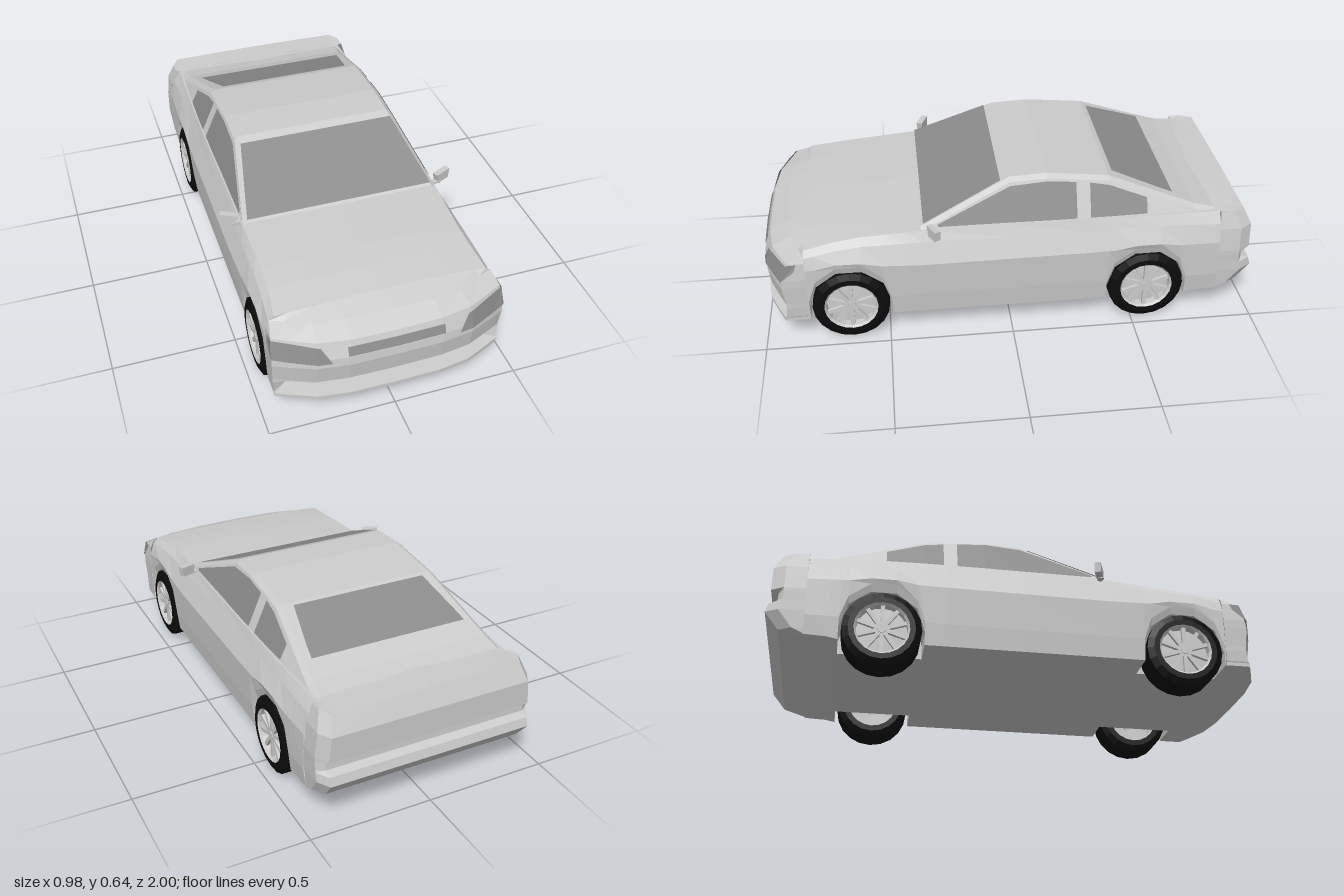
import * as THREE from 'three';

const mat = (color) => new THREE.MeshStandardMaterial({ color, flatShading: true, side: THREE.DoubleSide });
const paint = mat(0xcccccc), glass = mat(0x8c8c8c), rubber = mat(0x0c0c0c);

// Skin a grid of points: rows of equal length, each point [x, y, z]
function grid(rows) {
  const n = rows[0].length, index = [];
  for (let i = 0; i < rows.length - 1; i++)
    for (let j = 0; j < n - 1; j++) {
      const a = i * n + j, d = a + n;
      index.push(a, a + 1, d + 1, a, d + 1, d);
    }
  const g = new THREE.BufferGeometry();
  g.setAttribute('position', new THREE.Float32BufferAttribute(rows.flat(2), 3));
  g.setIndex(index);
  g.computeVertexNormals();
  return g;
}

function part(name, geometry, material = paint) {
  const m = new THREE.Mesh(geometry, material);
  m.name = name;
  return m;
}

// Interpolate a table whose first column ascends
function look(table, t) {
  let i = 0;
  while (i < table.length - 2 && t > table[i + 1][0]) i++;
  const a = table[i], b = table[i + 1];
  const k = THREE.MathUtils.clamp((t - a[0]) / (b[0] - a[0]), 0, 1);
  return a.slice(1).map((v, j) => v + (b[j + 1] - v) * k);
}

// Close a half section [x, y] (starting at +x) over to -x
const ring = (half, z) => [
  ...half.map(([x, y]) => [x, y, z]),
  ...half.slice(0, -1).reverse().map(([x, y]) => [-x, y, z]),
];

// Body sections: z, top y, deck edge x y, shoulder x y, waist x y
const BODY = [
  [-0.85, 0.475, 0.40, 0.465, 0.43, 0.42, 0.453, 0.345],
  [-0.60, 0.475, 0.41, 0.470, 0.43, 0.43, 0.462, 0.350],
  [-0.30, 0.475, 0.415, 0.472, 0.432, 0.425, 0.465, 0.345],
  [0.355, 0.475, 0.41, 0.466, 0.43, 0.425, 0.465, 0.340],
  [0.65, 0.455, 0.40, 0.445, 0.43, 0.42, 0.460, 0.350],
  [0.82, 0.430, 0.42, 0.415, 0.44, 0.39, 0.456, 0.340],
];
const AXLES = [-0.555, 0.65], ARCH = 0.165, HUB = 0.155;

// Stations [z, sill height] that trace a wheel arch
function arch(zc) {
  const s = [[zc - ARCH, 0.1]];
  for (let i = 5; i >= 0; i--) {
    const t = (i / 5) * Math.PI;
    s.push([zc + ARCH * Math.cos(t), HUB + ARCH * Math.sin(t)]);
  }
  return [...s, [zc + ARCH, 0.1]];
}

function bodyShell() {
  const stations = [[-0.85, 0.112], [-0.76, 0.108], ...arch(AXLES[0]), [-0.3, 0.1], [0, 0.1],
    [0.355, 0.1], [0.42, 0.1], ...arch(AXLES[1]), [0.82, 0.1]];
  return grid(stations.map(([z, a]) => {
    const [yt, xd, yd, xs, ys, xm, ym] = look(BODY, z);
    const f = Math.min(a, z < -0.75 ? 0.112 : 0.1);
    return ring([[0, f], [0.31, f], [0.31, a], [0.445, a], [0.455, Math.max(0.19, a + 0.03)],
      [xm, Math.max(ym, a + 0.05)], [xs, ys], [xd, yd], [xd * 0.65, yt - 0.005], [0, yt]], z);
  }));
}

// Nose and tail. rows: y, z, half width, recess, crown; cols: width fraction, sweep back
const NOSE_COLS = [[0, 0], [0.4, 0.003], [0.67, 0.02], [0.88, 0.06], [1, 0.085]];
const NOSE = [
  [0.1, 0.82, 0.445, 0, 0], [0.1, 1.0, 0.45, 0, 0], [0.115, 1.0, 0.45, 0, 0],
  [0.12, 0.995, 0.452, 0.06, 0], [0.165, 0.99, 0.455, 0.06, 0], [0.185, 0.99, 0.455, 0, 0],
  [0.265, 1.0, 0.459, 0, 0], [0.30, 0.995, 0.459, 0, 0], [0.36, 0.97, 0.452, 0, -0.015],
  [0.40, 0.90, 0.44, 0, 0], [0.43, 0.82, 0.42, 0, 0.015],
];
const TAIL_COLS = [[0, 0], [0.5, 0], [0.93, 0], [1, 0.05]];
const TAIL = [
  [0.112, 0.85, 0.445, 0, 0], [0.115, 0.87, 0.445, 0, 0], [0.135, 0.945, 0.447, 0, 0],
  [0.205, 1.0, 0.452, 0, 0], [0.24, 0.99, 0.452, 0, 0], [0.25, 0.987, 0.452, 0.03, 0],
  [0.285, 0.985, 0.453, 0.03, 0], [0.30, 0.985, 0.453, 0, 0], [0.40, 0.985, 0.442, 0, 0],
  [0.475, 0.95, 0.42, 0, 0.005], [0.475, 0.85, 0.40, 0, 0.01],
];
function endCap(rows, cols, zBase, dir) {
  const all = [...cols.slice(1).reverse().map(([u, d]) => [-u, d]), ...cols];
  all.unshift([-1, 9]);
  all.push([1, 9]);
  return grid(rows.map(([y, z, w, recess, crown]) => all.map(([u, d]) => [
    dir * u * w, y - crown * u * u,
    dir * Math.max(zBase, z - d - (Math.abs(u) < 1 ? recess : 0)),
  ])));
}
const noseZ = (x, y) =>
  look(NOSE.slice(5, 10), y)[0] - look(NOSE_COLS, Math.abs(x) / 0.455)[0];

// Cabin: z, roof y, roof half width, belt half width
const CABIN = [
  [-0.83, 0.472, 0.395, 0.398], [-0.75, 0.49, 0.39, 0.40], [-0.6, 0.545, 0.372, 0.41],
  [-0.4, 0.62, 0.347, 0.415], [-0.15, 0.645, 0.342, 0.415], [0, 0.637, 0.342, 0.413],
  [0.357, 0.476, 0.41, 0.411],
];
function cabinShell() {
  return grid(CABIN.map(([z, y, x, b]) =>
    ring([[b, 0.455], [x, y - 0.015], [x - 0.02, y], [0, y]], z)));
}
// Side pane from columns [z, bottom y, top y]
function sidePane(cols) {
  const at = (z, y) => {
    const [top, x, b] = look(CABIN, z);
    return [b + (x - b) * (y - 0.455) / (top - 0.47) + 0.004, y, z];
  };
  return grid([1, 2].map((k) => cols.map((c) => at(c[0], c[k]))));
}
// Front or rear pane from rows [z, half width]
const slopePane = (rows) => grid(rows.map(([z, w]) => {
  const y = look(CABIN, z)[0] + 0.004;
  return [[-w, y, z], [w, y, z]];
}));

function headlight() {
  const low = [[0.25, 0.287], [0.305, 0.287], [0.4, 0.293]];
  const high = [[0.29, 0.352], [0.305, 0.355], [0.4, 0.368]];
  const bottom = low.map(([x, y]) => [x, y, noseZ(x, y) + 0.008]);
  const top = high.map(([x, y]) => [x, y, noseZ(x, y - 0.015 * (x / 0.455) ** 2) + 0.008]);
  bottom.push([0.463, 0.30, 0.916], [0.463, 0.345, 0.86]);
  top.push([0.456, 0.372, 0.892], [0.456, 0.373, 0.85]);
  return grid([bottom, top]);
}

function wheel() {
  const g = new THREE.Group();
  const lathe = (pts) => new THREE.LatheGeometry(pts.map((p) => new THREE.Vector2(...p)), 20).rotateZ(-Math.PI / 2);
  g.add(part('tire', lathe([[0.106, -0.0675], [0.13, -0.0675], [0.155, -0.055], [0.155, 0.055],
    [0.13, 0.0675], [0.108, 0.0675]]), rubber));
  g.add(part('rim', lathe([[0.106, -0.0675], [0.098, 0.0], [0.1, 0.06], [0.108, 0.0675]])));
  g.add(part('rimDish', lathe([[0.1, 0.03], [0, 0.035]])));
  g.add(part('hub', new THREE.CylinderGeometry(0.018, 0.022, 0.03, 10).rotateZ(-Math.PI / 2).translate(0.045, 0, 0)));
  for (let i = 0; i < 10; i++) {
    const spoke = part('spoke', new THREE.BoxGeometry(0.014, 0.09, 0.016).translate(0.05, 0.06, 0));
    spoke.rotation.x = (i / 10) * Math.PI * 2;
    g.add(spoke);
  }
  return g;
}

function doorMirror() {
  const g = new THREE.Group();
  // Housing narrows towards its lower edge
  const box = new THREE.BoxGeometry(0.072, 0.042, 0.026);
  const p = box.attributes.position;
  for (let i = 0; i < p.count; i++) if (p.getY(i) < 0) p.setX(i, p.getX(i) * 0.78);
  const housing = part('mirrorHousing', box);
  housing.position.set(0.454, 0.481, 0.308);
  housing.rotation.set(0, 0.4, 0.06);
  const arm = part('mirrorArm', new THREE.BoxGeometry(0.05, 0.01, 0.02));
  arm.position.set(0.42, 0.461, 0.32);
  g.add(housing, arm);
  return g;
}

export function createModel() {
  const car = new THREE.Group();
  car.name = 'car';
  car.add(part('body', bodyShell()));
  car.add(part('nose', endCap(NOSE, NOSE_COLS, 0.82, 1)));
  car.add(part('tail', endCap(TAIL, TAIL_COLS, 0.85, -1)));
  car.add(part('cabin', cabinShell()));
  car.add(part('windshield', slopePane([[0.347, 0.388], [0.035, 0.326]]), glass));
  car.add(part('rearWindow', slopePane([[-0.665, 0.33], [-0.6, 0.32], [-0.42, 0.285]]), glass));

  // Grille follows the front of the nose
  const xs = [-0.19, -0.18, 0, 0.18, 0.19];
  car.add(part('grille', grid([0.305, 0.34].map((y) => xs.map((x) => [x, y, noseZ(x, y) + 0.004]))), glass));

  // Paired parts
  for (const side of [1, -1]) {
    const half = new THREE.Group();
    half.name = side > 0 ? 'leftSide' : 'rightSide';
    half.scale.x = side;
    half.add(part('headlight', headlight(), glass));
    half.add(part('doorWindow', sidePane([[0.29, 0.477, 0.486], [0, 0.477, 0.61],
      [-0.15, 0.477, 0.622], [-0.265, 0.477, 0.612]]), glass));
    half.add(part('quarterWindow', sidePane([[-0.32, 0.477, 0.606], [-0.4, 0.477, 0.592],
      [-0.55, 0.477, 0.536]]), glass));
    const mirror = doorMirror();
    mirror.name = 'doorMirror';
    half.add(mirror);
    AXLES.forEach((z, i) => {
      const w = wheel();
      w.name = i ? 'frontWheel' : 'rearWheel';
      w.position.set(0.3925, HUB, z);
      half.add(w);
    });
    car.add(half);
  }
  return car;
}
